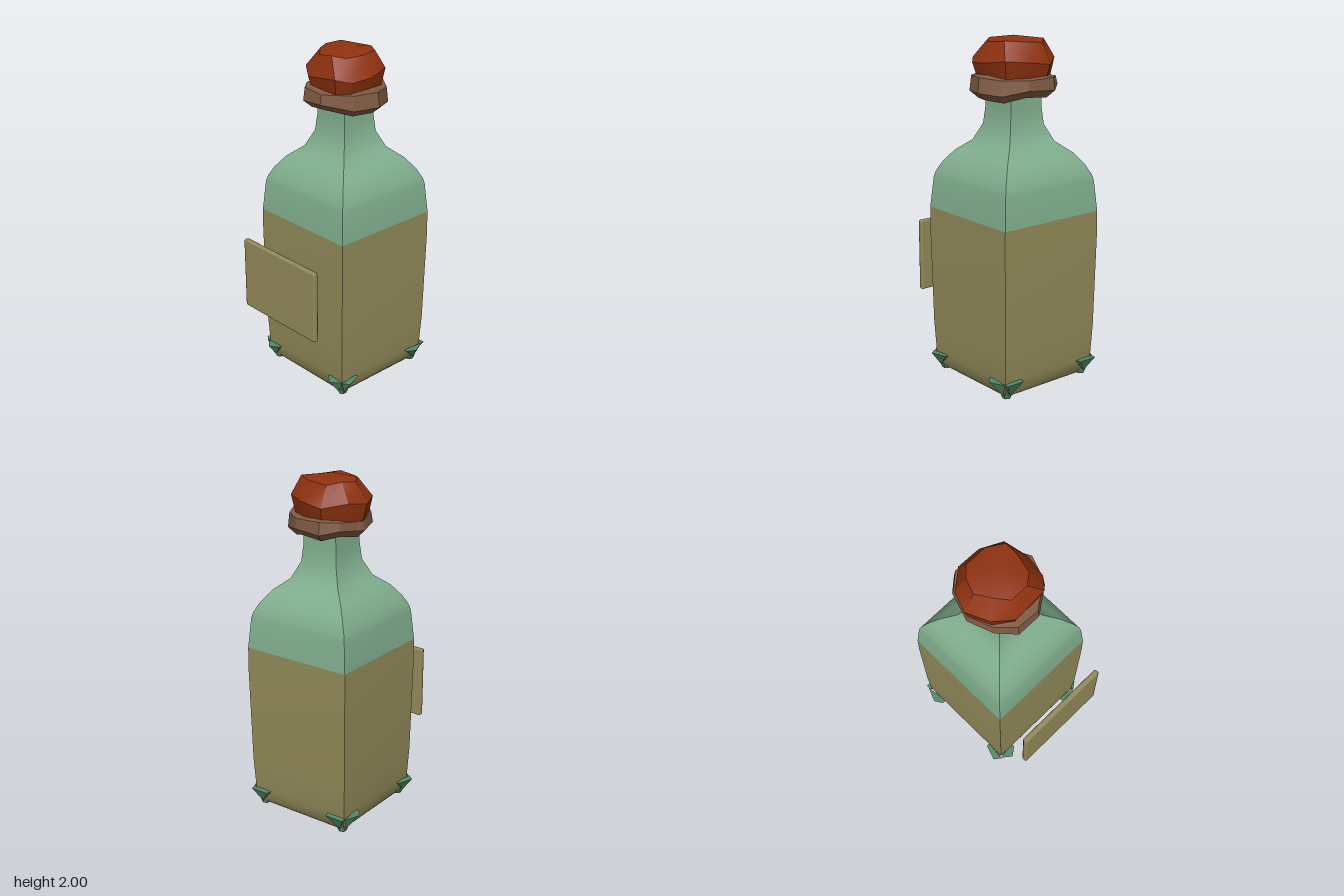
import * as THREE from 'three';
import { toCreasedNormals } from 'three/addons/utils/BufferGeometryUtils.js';
import { RoundedBoxGeometry } from 'three/addons/geometries/RoundedBoxGeometry.js';
import { ConvexGeometry } from 'three/addons/geometries/ConvexGeometry.js';

const CZ = -0.082; // bottle axis in z

function material(name, color, extra = {}) {
  const m = new THREE.MeshStandardMaterial({ color, ...extra });
  m.name = name;
  return m;
}

// Skin a stack of closed rings (clockwise from above, listed upward).
function loft(rings, crease) {
  const pos = [];
  const n = rings[0].length;
  for (let r = 0; r < rings.length - 1; r++) {
    for (let i = 0; i < n; i++) {
      const j = (i + 1) % n;
      const a = rings[r][i], b = rings[r][j], c = rings[r + 1][j], d = rings[r + 1][i];
      pos.push(...a, ...d, ...b, ...d, ...c, ...b);
    }
  }
  const g = new THREE.BufferGeometry();
  g.setAttribute('position', new THREE.Float32BufferAttribute(pos, 3));
  return toCreasedNormals(g, crease);
}

// Square ring of half-width w at height y.
const square = ([w, y]) => [[-w, y, CZ + w], [-w, y, CZ - w], [w, y, CZ - w], [w, y, CZ + w]];

// Outline ring scaled about a centre, with an uneven height.
function ring(outline, cx, cz, s, y, wobble = []) {
  return outline.map(([x, z], i) => [
    cx + (x - cx) * s, y + (wobble.length ? wobble[i % wobble.length] : 0), cz + (z - cz) * s,
  ]);
}

export function createModel() {
  const group = new THREE.Group();
  const glass = material('green glass', 0x80ae8e);
  const olive = material('olive', 0x938b5a);
  const wax = material('red wax', 0x8f3210);
  const collarBrown = material('collar brown', 0x7d5a42);
  const bracketGreen = material('bracket green', 0x548a69, { flatShading: true });

  const add = (name, geo, mat, parent = group) => {
    const m = new THREE.Mesh(geo, mat);
    m.name = name;
    parent.add(m);
    return m;
  };

  // Square bottle: filled lower half and clear upper half
  const lower = [[0, 0.008], [0.29, 0.008], [0.31, 0.03], [0.325, 0.11], [0.334, 0.3],
    [0.343, 0.86], [0.342, 1.0]];
  const upper = [[0.342, 1.0], [0.326, 1.18], [0.317, 1.215], [0.29, 1.27], [0.24, 1.34],
    [0.165, 1.405], [0.122, 1.5], [0.112, 1.6], [0.11, 1.74], [0, 1.74]];
  add('filledBody', loft(lower.map(square), 0.7), olive);
  add('shoulderAndNeck', loft(upper.map(square), 0.7), glass);

  // Rough collar round the neck
  const collar = [[-0.23, -0.09], [-0.18, -0.25], [-0.095, -0.325], [0.08, -0.31], [0.2, -0.22],
    [0.262, -0.09], [0.21, 0.05], [0.055, 0.16], [-0.09, 0.155], [-0.18, 0.06]];
  const dip = [0, 0.02, 0, 0.01, -0.02, -0.01, -0.015, 0.01, 0, 0.01];
  const lift = [-0.015, 0, 0.005, 0, 0, 0.01, 0.005, 0, 0.012, 0];
  add('collar', loft([
    ring(collar, 0, CZ, 0.4, 1.675),
    ring(collar, 0, CZ, 0.8, 1.667, dip),
    ring(collar, 0, CZ, 1.0, 1.71, dip),
    ring(collar, 0, CZ, 0.96, 1.776, lift),
    ring(collar, 0, CZ, 0.7, 1.785, lift),
  ], 0.5), collarBrown);

  // Lumpy stopper
  const knob = [[-0.245, -0.09], [-0.2, -0.2], [-0.085, -0.295], [0.055, -0.285], [0.175, -0.22],
    [0.21, -0.08], [0.19, 0.05], [0.13, 0.12], [-0.08, 0.125], [-0.185, 0.05]];
  const crown = [[-0.17, -0.09], [-0.14, -0.175], [-0.08, -0.235], [0.05, -0.23], [0.14, -0.17],
    [0.14, -0.09], [0.115, 0.02], [0.05, 0.07], [-0.055, 0.065], [-0.115, 0.0]];
  const bump = [0, 0.015, -0.01, 0.01, 0.02, 0, -0.01, 0.01, -0.015, 0.01];
  add('stopper', loft([
    ring(knob, -0.02, CZ, 0.82, 1.72),
    ring(knob, -0.02, CZ, 0.9, 1.775),
    ring(knob, -0.02, CZ, 1.0, 1.86, bump),
    ring(crown, 0, CZ, 1.0, 1.972, bump.map((b) => b * 0.6)),
    ring(crown, 0, CZ, 0, 2.0),
  ], 0.55), wax);

  // Floating label plate
  const label = add('label', new RoundedBoxGeometry(0.61, 0.435, 0.034, 1, 0.011), olive);
  label.position.set(0, 0.6575, 0.423);

  // Corner brackets: two flared flaps and a small foot at each corner
  const solid = (pts) => new ConvexGeometry(pts.map((p) => new THREE.Vector3(...p)));
  const T = 0.105;
  const frontFlaps = {
    outer: [[0.32, T, 0.13], [0.343, T, 0.13], [0.375, T, 0.225], [0.335, T, 0.255], [0.315, 0.02, 0.215]],
    face: [[0.22, T, 0.24], [0.22, T, 0.257], [0.275, T, 0.297], [0.335, T, 0.25], [0.285, 0.02, 0.235]],
  };
  const backFlaps = {
    outer: [[0.32, T, -0.28], [0.343, T, -0.28], [0.375, T, -0.33], [0.337, T, -0.42], [0.315, 0.02, -0.37]],
    face: [[0.21, T, -0.4], [0.218, T, -0.44], [0.335, T, -0.44], [0.335, T, -0.41], [0.285, 0.02, -0.395]],
  };
  for (const side of [1, -1]) {
    for (const [place, flaps] of [['front', frontFlaps], ['back', backFlaps]]) {
      const bracket = new THREE.Group();
      bracket.name = `${place}${side > 0 ? 'Left' : 'Right'}Bracket`;
      group.add(bracket);
      for (const [name, pts] of Object.entries(flaps)) {
        add(`${name}Flap`, solid(pts.map(([x, y, z]) => [x * side, y, z])), bracketGreen, bracket);
      }
      const foot = add('foot', new THREE.CylinderGeometry(0.036, 0.024, 0.03, 6), bracketGreen, bracket);
      foot.position.set(side * 0.285, 0.015, CZ + (place === 'front' ? 0.285 : -0.285));
    }
  }
  return group;
}
